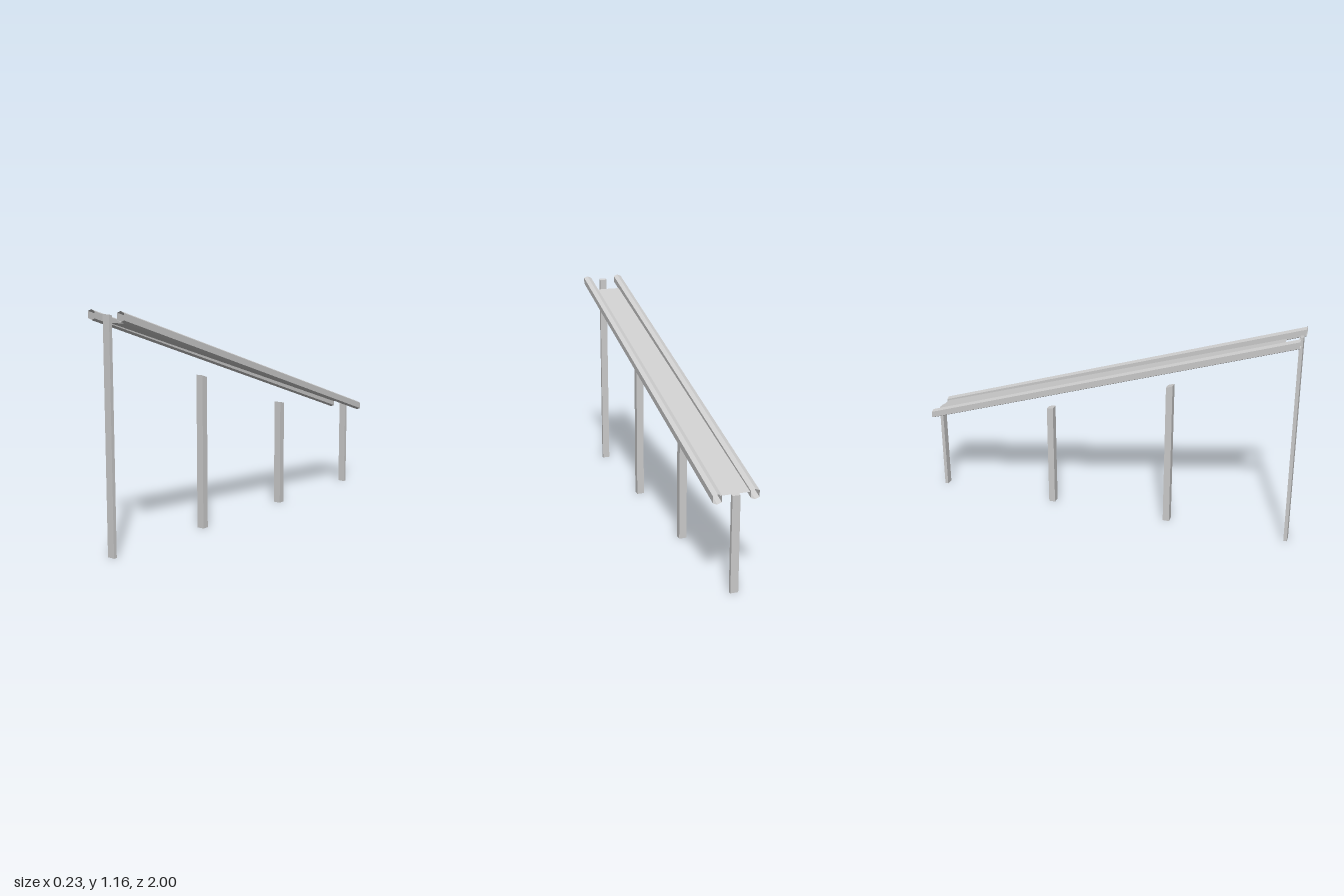
import * as THREE from 'three';

const mat = new THREE.MeshStandardMaterial({ color: 0xcccccc, flatShading: true, side: THREE.DoubleSide });

function add(group, name, geometry) {
  const mesh = new THREE.Mesh(geometry, mat);
  mesh.name = name;
  group.add(mesh);
  return mesh;
}

// Open six-sided tube along z, its ends cut upright and its axis sloping
function railGeometry(x) {
  const section = [[0, 0.025], [0.0215, 0.0165], [0.0215, -0.0165], [0, -0.025], [-0.0215, -0.0165], [-0.0215, 0.0165]];
  const positions = [];
  const point = ([px, py], z) => [x + px, 0.8065 + 0.3275 * z + py, z];
  section.forEach((a, i) => {
    const b = section[(i + 1) % section.length];
    const [a0, b0, a1, b1] = [point(a, -1), point(b, -1), point(a, 1), point(b, 1)];
    positions.push(...a0, ...a1, ...b1, ...a0, ...b1, ...b0);
  });
  const g = new THREE.BufferGeometry();
  g.setAttribute('position', new THREE.Float32BufferAttribute(positions, 3));
  g.computeVertexNormals();
  return g;
}

// Upright post with a top that slopes from its back to its front edge
function postGeometry(zBack, zFront, topBack, topFront) {
  const g = new THREE.BoxGeometry(0.04, 1, zFront - zBack);
  g.translate(0, 0.5, (zBack + zFront) / 2);
  const p = g.attributes.position;
  const mid = (zBack + zFront) / 2;
  for (let i = 0; i < p.count; i++) {
    if (p.getY(i) > 0.5) p.setY(i, p.getZ(i) > mid ? topFront : topBack);
  }
  g.computeVertexNormals();
  return g;
}

export function createModel() {
  const model = new THREE.Group();
  model.name = 'slopingTrack';

  // Side rails
  add(model, 'leftRail', railGeometry(0.0935));
  add(model, 'rightRail', railGeometry(-0.0935));

  // Thin sloping deck between the rails
  const deck = new THREE.PlaneGeometry(0.152, 1.9);
  deck.rotateX(-Math.PI / 2);
  deck.translate(0, 0, -0.04);
  const p = deck.attributes.position;
  for (let i = 0; i < p.count; i++) p.setY(i, p.getZ(i) > 0 ? 1.093 : 0.49);
  deck.computeVertexNormals();
  add(model, 'deck', deck);

  // Row of supporting posts, tallest at the front
  const posts = [
    ['frontPost', 0.982, 1, 1.135, 1.14],
    ['frontMiddlePost', 0.32, 0.355, 0.785, 0.797],
    ['backMiddlePost', -0.347, -0.312, 0.57, 0.577],
    ['backPost', -1, -0.982, 0.485, 0.49],
  ];
  for (const [name, ...dims] of posts) add(model, name, postGeometry(...dims));

  return model;
}
